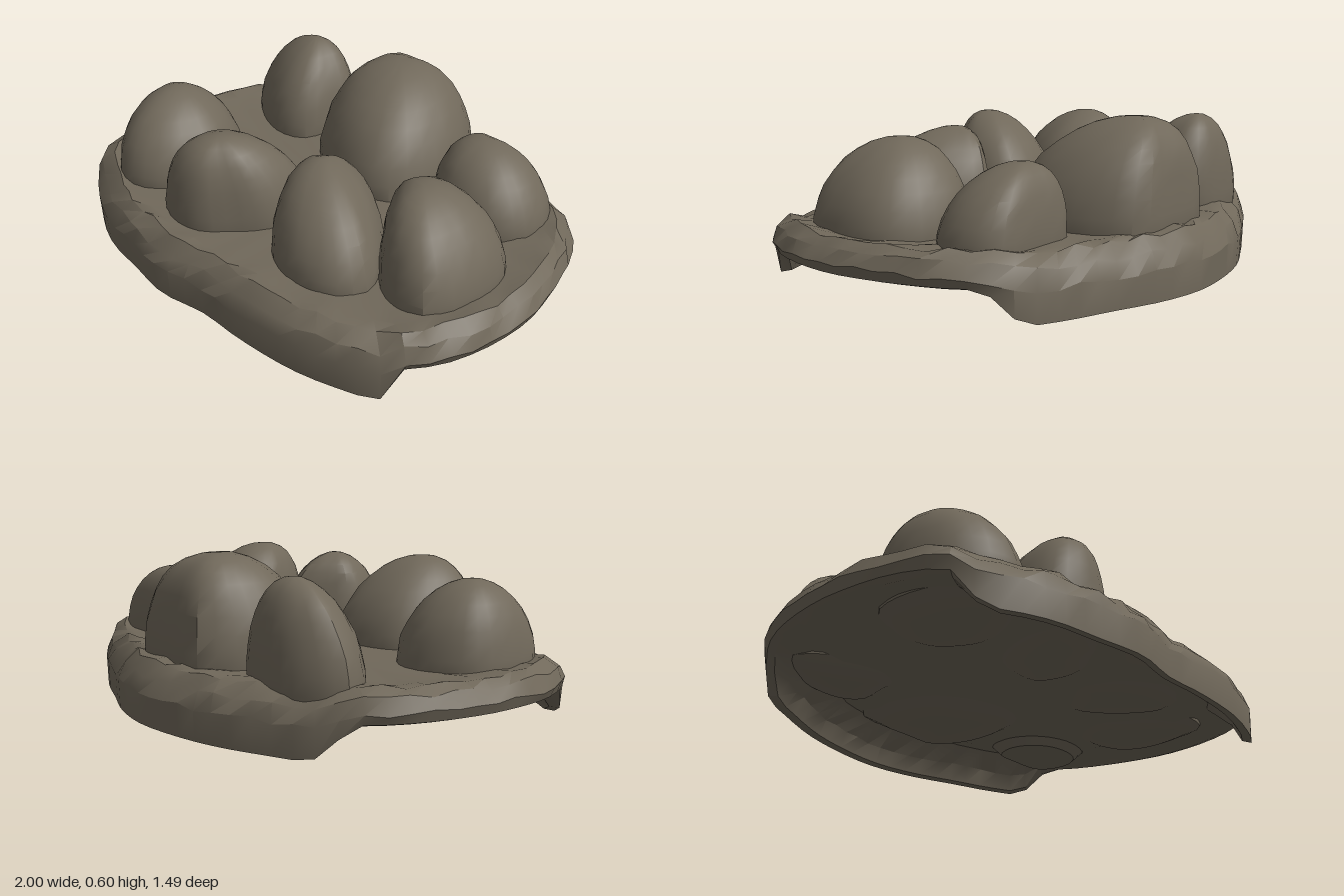
import * as THREE from 'three';
import { toCreasedNormals } from 'three/addons/utils/BufferGeometryUtils.js';

const { lerp, smoothstep } = THREE.MathUtils;
const stone = new THREE.MeshStandardMaterial({ color: 0x70685a });
stone.name = 'grey brown stone';

// Seeded noise in -1..1
function makeNoise(seed) {
  let s = seed;
  return () => {
    s = (s * 16807) % 2147483647;
    return (s / 2147483647) * 2 - 1;
  };
}

// Smooth closed outline through flat [x, z] pairs
function outline(pairs, count) {
  const pts = pairs.map(([x, z]) => new THREE.Vector3(x, 0, z));
  const curve = new THREE.CatmullRomCurve3(pts, true, 'centripetal');
  return curve.getSpacedPoints(count).slice(0, count);
}

// Closed surface through rings ordered from the bottom centre to the top centre
function loft(rings, crease) {
  const n = rings[0].length;
  const index = [];
  for (let r = 0; r < rings.length - 1; r++) {
    for (let i = 0; i < n; i++) {
      const j = (i + 1) % n;
      const a = r * n + i, b = r * n + j;
      if (r > 0) index.push(a, a + n, b);
      if (r < rings.length - 2) index.push(b, a + n, b + n);
    }
  }
  const geo = new THREE.BufferGeometry();
  geo.setAttribute('position', new THREE.Float32BufferAttribute(rings.flat(2), 3));
  geo.setIndex(index);
  return toCreasedNormals(geo, crease);
}

// How far the rim hangs to the ground: front and back do, the sides stay open
function skirtAmount({ x, z }) {
  if (z < 0) return smoothstep(-z, 0.42, 0.54);
  return x < 0 ? smoothstep(z, 0.48, 0.58) : smoothstep(z, 0.57, 0.63);
}

// Slab with a lumpy rim and a shallow groove underneath, inside the rim
function slabGeometry() {
  const noise = makeNoise(77);
  const edge = outline([
    [0, -0.75], [0.2, -0.72], [0.4, -0.65], [0.6, -0.58], [0.78, -0.48], [0.88, -0.36],
    [0.95, -0.18], [0.99, 0], [1, 0.12], [0.97, 0.33], [0.9, 0.5], [0.77, 0.63],
    [0.6, 0.69], [0.45, 0.72], [0.2, 0.73], [0, 0.72], [-0.2, 0.745], [-0.4, 0.71],
    [-0.6, 0.67], [-0.75, 0.6], [-0.88, 0.5], [-0.97, 0.33], [-1, 0.1], [-0.995, -0.02],
    [-0.96, -0.2], [-0.9, -0.35], [-0.8, -0.48], [-0.6, -0.59], [-0.4, -0.68], [-0.2, -0.73],
  ], 72);
  // [scale at the sides, scale at the skirts, height at the sides, height at the skirts, roughness]
  const profile = [
    [0, 0, 0.11, 0.11, 0], [0.5, 0.5, 0.11, 0.11, 0], [0.7, 0.7, 0.115, 0.115, 0.003],
    [0.82, 0.82, 0.14, 0.135, 0.006], [0.9, 0.92, 0.13, 0.07, 0.006],
    [0.955, 0.955, 0.12, 0.005, 0], [0.985, 0.995, 0.13, 0, 0], [1, 1, 0.165, 0.115, 0.01],
    [0.975, 0.965, 0.215, 0.175, 0.012], [0.93, 0.9, 0.242, 0.22, 0.01],
    [0.87, 0.85, 0.23, 0.222, 0.008], [0.75, 0.75, 0.215, 0.215, 0.004],
    [0.4, 0.4, 0.21, 0.21, 0], [0, 0, 0.21, 0.21, 0],
  ];
  const rings = profile.map(([sideS, skirtS, sideY, skirtY, rough]) => edge.map((p) => {
    const k = skirtAmount(p);
    const s = lerp(sideS, skirtS, k);
    const w = s + (s < 1 ? rough * noise() : 0);
    return [p.x * w, lerp(sideY, skirtY, k) + rough * noise(), p.z * w];
  }));
  return loft(rings, 0.5);
}

// Boulder: a footprint that closes in a dome towards its peak and bulges under the slab
function boulderGeometry({ foot, peak, taper, bottom }, seed) {
  const noise = makeNoise(seed);
  const edge = outline(foot, 28);
  const c = edge.reduce((sum, p) => sum.add(p), new THREE.Vector3()).divideScalar(edge.length);
  const base = 0.2;
  const ring = (scale, y, shift, rough) => edge.map((p) => {
    const s = scale * (1 + rough * noise());
    return [
      lerp(c.x, peak[0], shift) + (p.x - c.x) * s,
      y,
      lerp(c.z, peak[2], shift) + (p.z - c.z) * s,
    ];
  });
  const rings = [
    ring(0, bottom, 0, 0), ring(0.7, bottom + 0.01, 0, 0), ring(0.94, 0.13, 0, 0),
  ];
  const steps = 9;
  for (let i = 0; i <= steps; i++) {
    const a = (i / steps) * Math.PI / 2;
    const up = Math.sin(a);
    const scale = i === steps ? 0 : Math.pow(Math.cos(a), taper);
    rings.push(ring(scale, lerp(base, peak[1], up), up * up, i ? 0.014 : 0));
  }
  return loft(rings, 0.55);
}

const boulders = {
  frontOuterRightBoulder: {
    peak: [-0.66, 0.52, 0.24], taper: 1.05, bottom: 0.095,
    foot: [[-0.64, 0], [-0.5, 0.03], [-0.41, 0.15], [-0.38, 0.25], [-0.44, 0.42],
      [-0.55, 0.52], [-0.67, 0.53], [-0.8, 0.43], [-0.85, 0.28], [-0.82, 0.1]],
  },
  frontInnerRightBoulder: {
    peak: [-0.2, 0.545, 0.42], taper: 0.95, bottom: 0.095,
    foot: [[-0.13, 0.11], [-0.02, 0.13], [0.03, 0.24], [0.02, 0.38], [-0.08, 0.5],
      [-0.15, 0.57], [-0.28, 0.59], [-0.4, 0.53], [-0.43, 0.4], [-0.39, 0.25], [-0.3, 0.15]],
  },
  frontInnerLeftBoulder: {
    peak: [0.18, 0.53, 0.27], taper: 1.05, bottom: 0.095,
    foot: [[0.24, 0.06], [0.36, 0.13], [0.46, 0.24], [0.54, 0.42], [0.48, 0.52],
      [0.33, 0.56], [0.2, 0.53], [0.08, 0.43], [0.03, 0.27], [0.1, 0.17]],
  },
  frontOuterLeftBoulder: {
    peak: [0.57, 0.54, 0.17], taper: 0.95, bottom: 0.095,
    foot: [[0.5, -0.09], [0.65, -0.1], [0.8, -0.03], [0.86, 0.1], [0.85, 0.27], [0.8, 0.4],
      [0.7, 0.43], [0.59, 0.4], [0.5, 0.32], [0.42, 0.2], [0.38, 0.1], [0.41, 0]],
  },
  backLeftBoulder: {
    peak: [0.48, 0.485, -0.31], taper: 0.9, bottom: 0.07,
    foot: [[0.37, -0.43], [0.5, -0.44], [0.72, -0.42], [0.77, -0.34], [0.77, -0.22],
      [0.7, -0.12], [0.57, -0.08], [0.42, -0.11], [0.32, -0.22], [0.31, -0.33]],
  },
  backMiddleBoulder: {
    peak: [-0.04, 0.6, -0.43], taper: 0.88, bottom: 0.08,
    foot: [[-0.2, -0.62], [0, -0.63], [0.2, -0.62], [0.27, -0.53], [0.31, -0.4], [0.3, -0.2],
      [0.23, -0.06], [0.12, -0.02], [0, -0.03], [-0.14, -0.09], [-0.26, -0.19], [-0.31, -0.36],
      [-0.28, -0.52]],
  },
  backRightBoulder: {
    peak: [-0.5, 0.565, -0.42], taper: 1.05, bottom: 0.09,
    foot: [[-0.78, -0.4], [-0.7, -0.49], [-0.58, -0.54], [-0.38, -0.53], [-0.3, -0.45],
      [-0.32, -0.32], [-0.36, -0.2], [-0.46, -0.16], [-0.6, -0.2], [-0.74, -0.31]],
  },
};

export function createModel() {
  const model = new THREE.Group();
  model.name = 'boulderSlab';
  const add = (name, geometry) => {
    const mesh = new THREE.Mesh(geometry, stone);
    mesh.name = name;
    model.add(mesh);
  };
  add('slab', slabGeometry());
  Object.entries(boulders).forEach(([name, boulder], i) => {
    add(name, boulderGeometry(boulder, 101 + i * 37));
  });
  return model;
}
